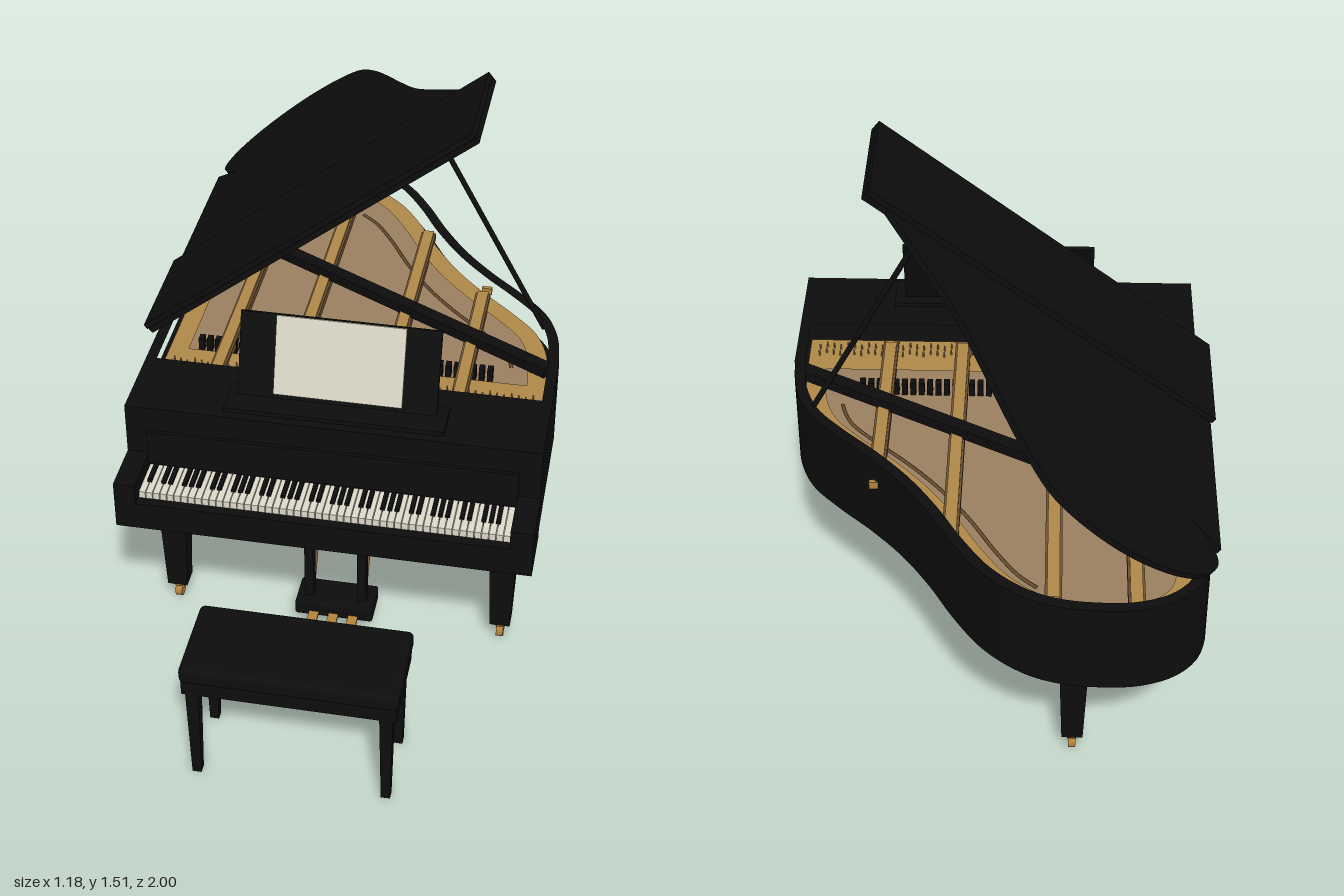
import * as THREE from 'three';
import { mergeGeometries, toCreasedNormals } from 'three/addons/utils/BufferGeometryUtils.js';
import { RoundedBoxGeometry } from 'three/addons/geometries/RoundedBoxGeometry.js';

const mat = (name, color) => {
  const m = new THREE.MeshStandardMaterial({ color });
  m.name = name;
  return m;
};

// Box from its minimum and maximum corners
function boxGeo(x0, x1, y0, y1, z0, z1) {
  return new THREE.BoxGeometry(x1 - x0, y1 - y0, z1 - z0)
    .translate((x0 + x1) / 2, (y0 + y1) / 2, (z0 + z1) / 2);
}

// Square tapered post, flat sided
function taperGeo(top, bottom, y0, y1) {
  const g = new THREE.CylinderGeometry(top * Math.SQRT1_2, bottom * Math.SQRT1_2, y1 - y0, 4, 1)
    .rotateY(Math.PI / 4).translate(0, (y0 + y1) / 2, 0).toNonIndexed();
  g.computeVertexNormals();
  return g;
}

// Round rod between two points
function rodGeo(a, b, r) {
  return new THREE.TubeGeometry(new THREE.LineCurve3(new THREE.Vector3(...a), new THREE.Vector3(...b)), 1, r, 8);
}

// Plan points are [x, z]; the slab rises from y0 to y1
const toPlan = (pts) => pts.map(([x, z]) => new THREE.Vector2(x, -z));
function slabGeo(pts, y0, y1, hole) {
  const shape = new THREE.Shape(toPlan(pts));
  if (hole) shape.holes.push(new THREE.Path(toPlan(hole)));
  const g = new THREE.ExtrudeGeometry(shape, { depth: y1 - y0, bevelEnabled: false });
  return toCreasedNormals(g.rotateX(-Math.PI / 2).translate(0, y0, 0), 0.5);
}

const spline = (pts) => new THREE.CatmullRomCurve3(pts.map(([x, z]) => new THREE.Vector3(x, 0, z)));

// Curved tail and bent side of the case
const caseCurve = spline([
  [-0.56, -0.76], [-0.555, -0.82], [-0.53, -0.89], [-0.47, -0.95], [-0.38, -0.985], [-0.28, -0.992],
  [-0.17, -0.98], [-0.08, -0.945], [0.02, -0.865], [0.1, -0.755], [0.17, -0.635], [0.25, -0.52],
  [0.34, -0.42], [0.44, -0.325], [0.52, -0.235], [0.565, -0.13], [0.583, 0],
]);

// Case outline moved inward by d and closed at z = front
function outline(d, front) {
  const pts = [[-0.56 + d, front]];
  if (d === 0) pts.push([-0.56, -0.735], [-0.538, -0.735]);
  for (let i = 0; i <= 70; i++) {
    const p = caseCurve.getPointAt(i / 70), t = caseCurve.getTangentAt(i / 70);
    pts.push([p.x - t.z * d, p.z + t.x * d]);
  }
  pts.push([0.585 - d, front]);
  return pts;
}

export function createModel() {
  const model = new THREE.Group();
  model.name = 'grandPianoWithBench';
  const black = mat('black lacquer', 0x0d0d0d);
  const gold = mat('gold plate', 0xb08848);
  const tan = mat('soundboard wood', 0x9c8060);
  const darkWood = mat('dark wood', 0x6e5230);
  const brass = mat('brass', 0xb4843c);
  const paper = mat('paper', 0xd9d6c6);
  const ivory = mat('ivory', 0xdedacb);

  const add = (name, geo, material, parent = model) => {
    const m = new THREE.Mesh(Array.isArray(geo) ? mergeGeometries(geo) : geo, material);
    m.name = name;
    parent.add(m);
    return m;
  };

  // Case: solid floor, hollow rim
  add('caseFloor', slabGeo(outline(0, 0.41), 0.497, 0.66), black);
  add('rim', slabGeo(outline(0, 0.41), 0.66, 0.764, outline(0.03, 0.18)), black);
  add('soundboard', slabGeo(outline(0.03, 0.18), 0.66, 0.668), tan);
  add('ironPlate', slabGeo(outline(0.03, 0.18), 0.668, 0.705, outline(0.085, 0.04)), gold);

  // Plate braces running front to back
  const braceEnds = [[-0.37, -0.92], [-0.16, -0.9], [0.11, -0.68], [0.32, -0.38]];
  add('plateBraces', braceEnds.map(([x, z]) => boxGeo(x - 0.016, x + 0.016, 0.69, 0.722, z, 0.15)), gold);
  add('braceEdges', braceEnds.flatMap(([x, z]) => [-0.019, 0.019].map((o) =>
    boxGeo(x + o - 0.003, x + o + 0.003, 0.69, 0.715, z, 0.17))), darkWood);

  // Bridge following the bent side
  const bridge = [];
  for (let i = 26; i <= 66; i += 2) {
    const p = caseCurve.getPointAt(i / 70), t = caseCurve.getTangentAt(i / 70);
    bridge.push(new THREE.Vector3(p.x - t.z * 0.13, 0.67, p.z + t.x * 0.13));
  }
  add('bridge', new THREE.TubeGeometry(new THREE.CatmullRomCurve3(bridge), 40, 0.005, 5), darkWood);

  // Tuning pins
  const pins = [];
  for (let i = 0; i < 52; i++) {
    for (const z of [0.105, 0.135]) {
      pins.push(new THREE.CylinderGeometry(0.0025, 0.0025, 0.02, 5)
        .translate(-0.5 + i * 0.0201, 0.712, z + (i % 3) * 0.006));
    }
  }
  add('tuningPins', pins, tan);

  // Damper rail and dampers
  const rail = add('damperRail', new THREE.BoxGeometry(1.18, 0.03, 0.04), black);
  rail.position.set(0.035, 0.73, -0.288);
  rail.rotation.y = -Math.atan2(0.57, 1.05);
  const dampers = [];
  for (let i = 0; i < 36; i++) {
    const x = -0.45 + i * 0.024;
    dampers.push(boxGeo(x - 0.008, x + 0.008, 0.67, 0.71, -0.03, -0.005));
  }
  add('dampers', dampers, black);

  // Keyboard
  const keys = new THREE.Group();
  keys.name = 'keyboard';
  model.add(keys);
  add('keybed', boxGeo(-0.56, 0.585, 0.465, 0.54, 0.4, 0.56), black, keys);
  add('keySlip', boxGeo(-0.5, 0.525, 0.54, 0.55, 0.532, 0.56), black, keys);
  add('cheeks', [boxGeo(-0.56, -0.5, 0.54, 0.61, 0.4, 0.56), boxGeo(0.522, 0.585, 0.54, 0.61, 0.4, 0.56)], black, keys);
  add('fallboard', boxGeo(-0.5, 0.525, 0.58, 0.69, 0.4, 0.42), black, keys);
  const whites = [], sharps = [], w = 1.02 / 52;
  for (let i = 0; i < 52; i++) {
    const x = -0.499 + i * w;
    whites.push(boxGeo(x + 0.001, x + w - 0.001, 0.54, 0.57, 0.405, 0.531));
    if (i < 51 && [0, 2, 3, 5, 6].includes(i % 7)) {
      sharps.push(boxGeo(x + w - 0.006, x + w + 0.006, 0.56, 0.579, 0.405, 0.487));
    }
  }
  add('whiteKeys', whites, ivory, keys);
  add('blackKeys', sharps, black, keys);

  // Music desk
  add('deskShelf', boxGeo(-0.29, 0.315, 0.762, 0.777, 0.27, 0.385), black);
  const desk = new THREE.Group();
  desk.name = 'musicDesk';
  desk.position.set(0.01, 0.888, 0.275);
  desk.rotation.x = -0.31;
  model.add(desk);
  add('deskPanel', new THREE.BoxGeometry(0.55, 0.24, 0.012), black, desk);
  add('sheetMusic', new THREE.BoxGeometry(0.355, 0.225, 0.006).translate(0.002, 0.006, 0.008), paper, desk);

  // Raised lid, drawn flat then tilted about its hinge edge
  const tilt = 0.667, c = Math.cos(tilt);
  const lid = new THREE.Group();
  lid.name = 'lid';
  lid.position.set(-0.572, 0.768, 0);
  lid.rotation.z = tilt;
  model.add(lid);
  const lidCurve = spline([
    [-0.5, -0.735], [-0.54, -0.775], [-0.562, -0.83], [-0.545, -0.885], [-0.5, -0.935], [-0.42, -0.978],
    [-0.32, -0.998], [-0.22, -0.985], [-0.15, -0.95], [-0.09, -0.87], [-0.03, -0.76], [0.04, -0.62],
    [0.1, -0.51], [0.19, -0.39], [0.285, -0.27],
  ]).getPoints(60).map((p) => [(p.x + 0.572) / c, p.z]);
  add('lidPanel', slabGeo([[0, 0.07], [0, -0.78], ...lidCurve, [1.163, -0.27], [1.163, 0.07]], 0, 0.017), black, lid);
  add('foldedFlap', boxGeo(-0.004, 1.163, 0.018, 0.034, -0.27, 0.07), black, lid);
  add('hinges', [-0.03, -0.24, -0.42, -0.62].map((z) => boxGeo(-0.003, 0.04, -0.02, 0.004, z - 0.02, z + 0.02)), black, lid);

  // Lid prop with brass fittings
  add('lidProp', rodGeo([0.52, 0.74, -0.2], [0.185, 1.362, -0.2], 0.008), black);
  add('propCup', new THREE.SphereGeometry(0.011, 10, 8).translate(0.185, 1.355, -0.2), brass);
  add('sideLatch', new THREE.BoxGeometry(0.03, 0.022, 0.012).translate(0.325, 0.685, -0.44), brass);

  // Legs on casters
  for (const [name, x, z] of [['rightFrontLeg', -0.465, 0.305], ['leftFrontLeg', 0.487, 0.305], ['backLeg', -0.22, -0.735]]) {
    const leg = new THREE.Group();
    leg.name = name;
    leg.position.set(x, 0, z);
    model.add(leg);
    add('legPost', taperGeo(0.09, 0.058, 0.06, 0.5), black, leg);
    add('caster', [
      new THREE.CylinderGeometry(0.025, 0.025, 0.01, 16).translate(0, 0.056, 0),
      new THREE.CylinderGeometry(0.012, 0.012, 0.03, 12).translate(0, 0.04, 0),
      new THREE.CylinderGeometry(0.024, 0.024, 0.02, 20).rotateZ(Math.PI / 2).translate(0, 0.024, 0),
    ], brass, leg);
  }

  // Pedal lyre
  const lyre = new THREE.Group();
  lyre.name = 'pedalLyre';
  model.add(lyre);
  add('lyreBox', new RoundedBoxGeometry(0.226, 0.047, 0.11, 2, 0.008).translate(0.012, 0.082, 0.335), black, lyre);
  for (const x of [-0.065, 0.088]) {
    add('lyrePost', boxGeo(x - 0.013, x + 0.013, 0.1, 0.5, 0.325, 0.357), black, lyre);
    add('lyreBrace', rodGeo([x, 0.1, 0.29], [x, 0.5, 0.08], 0.005), darkWood, lyre);
  }
  for (const x of [-0.045, 0.012, 0.069]) {
    add('pedal', boxGeo(x - 0.014, x + 0.014, 0.067, 0.076, 0.38, 0.47), brass, lyre);
  }

  // Bench
  const bench = new THREE.Group();
  bench.name = 'bench';
  bench.position.set(0.01, 0, 0.87);
  model.add(bench);
  add('cushion', new RoundedBoxGeometry(0.58, 0.05, 0.26, 3, 0.016).translate(0, 0.363, 0), black, bench);
  add('apron', boxGeo(-0.285, 0.285, 0.295, 0.345, -0.12, 0.12), black, bench);
  for (const x of [-0.257, 0.257]) {
    for (const z of [-0.1, 0.1]) {
      add('benchLeg', taperGeo(0.036, 0.025, 0, 0.3).translate(x, 0, z), black, bench);
    }
  }
  return model;
}
